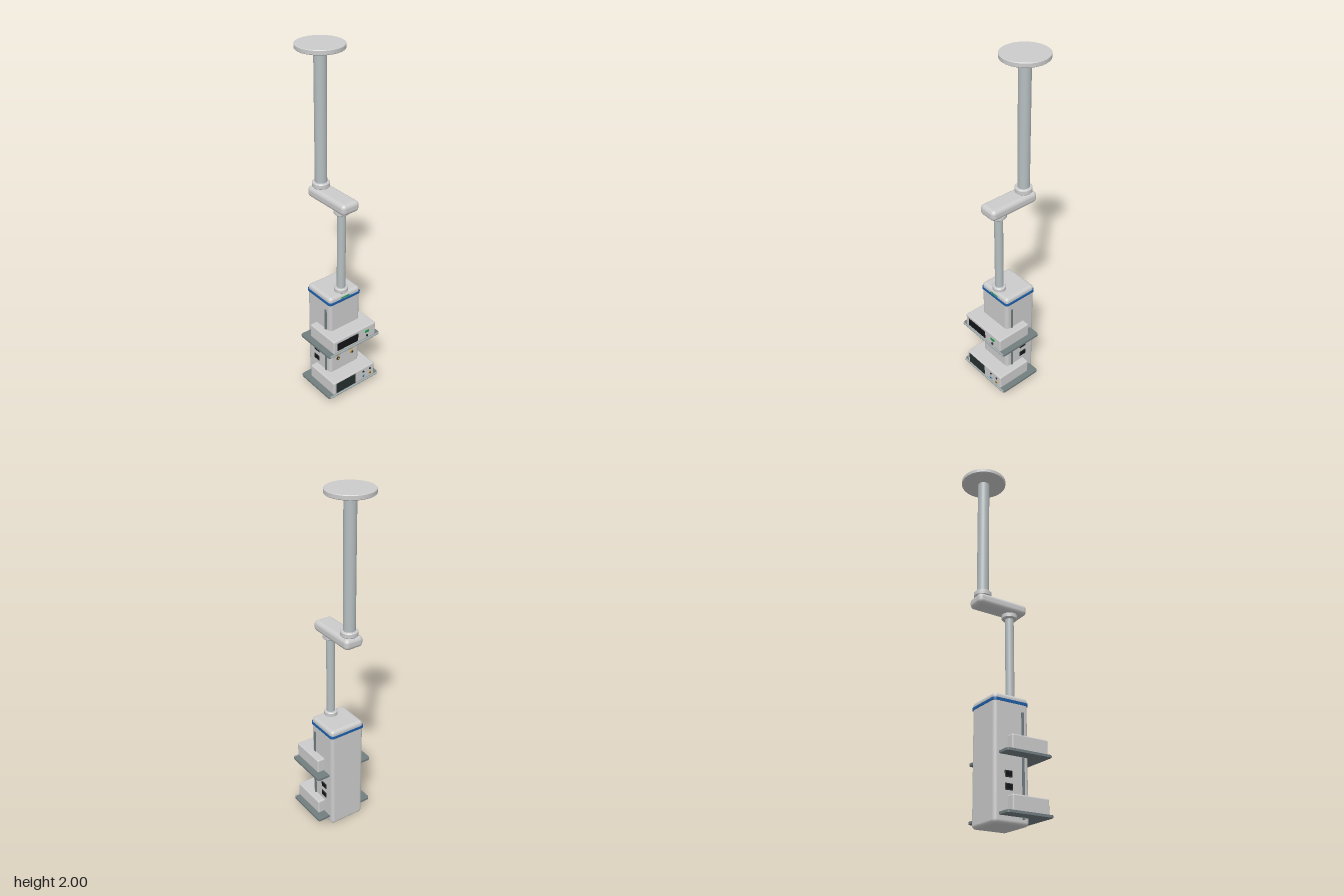
import * as THREE from 'three';
import { RoundedBoxGeometry } from 'three/addons/geometries/RoundedBoxGeometry.js';

const mat = (color) => new THREE.MeshStandardMaterial({ color });
const grey = mat(0xcccccc);
const tube = mat(0xb6bec0);
const shelfGrey = mat(0x727d7f);
const railGrey = mat(0xa3adad);
const blue = mat(0x1f5fa8);
const dark = mat(0x2a2e30);
const black = mat(0x111416);
const screenGrey = mat(0x26302f);
const green = mat(0x1fa04a);
const cyan = mat(0x7fb2cc);
const amber = mat(0xc9a24a);

export function createModel() {
  const model = new THREE.Group();

  const add = (parent, name, geometry, material, x, y, z) => {
    const mesh = new THREE.Mesh(geometry, material);
    mesh.name = name;
    mesh.position.set(x, y, z);
    parent.add(mesh);
    return mesh;
  };

  // Block given by its extents, with softened edges
  const block = (parent, name, material, [x0, x1], [y0, y1], [z0, z1], r) =>
    add(parent, name, new RoundedBoxGeometry(x1 - x0, y1 - y0, z1 - z0, 4, r), material,
      (x0 + x1) / 2, (y0 + y1) / 2, (z0 + z1) / 2);

  // Upright round part with small chamfers
  const round = (name, material, r, y0, y1, z, c) => {
    const h = y1 - y0;
    const corners = [[0, 0], [r - c, 0], [r, c], [r, h - c], [r - c, h], [0, h]];
    const points = [];
    corners.forEach(([px, py], i) => {
      // doubled points keep the edges crisp
      points.push(new THREE.Vector2(px, py));
      if (i > 0 && i < 5) points.push(new THREE.Vector2(px, py));
    });
    add(model, name, new THREE.LatheGeometry(points, 48), material, 0, y0, z);
  };

  // Flat plate with rounded corners in plan
  const plate = (parent, name, material, w, [z0, z1], [y0, y1], r) => {
    const s = new THREE.Shape();
    const a = w / 2, d = (z1 - z0) / 2;
    s.moveTo(-a + r, -d);
    s.lineTo(a - r, -d);
    s.absarc(a - r, -d + r, r, -Math.PI / 2, 0);
    s.absarc(a - r, d - r, r, 0, Math.PI / 2);
    s.absarc(-a + r, d - r, r, Math.PI / 2, Math.PI);
    s.absarc(-a + r, -d + r, r, Math.PI, Math.PI * 1.5);
    const g = new THREE.ExtrudeGeometry(s, { depth: y1 - y0, bevelEnabled: false, curveSegments: 6 });
    g.rotateX(-Math.PI / 2);
    add(parent, name, g, material, 0, y0, (z0 + z1) / 2);
  };

  // Round knob or socket facing the front
  const knob = (parent, name, material, r, depth, x, y, z) => {
    const g = new THREE.CylinderGeometry(r, r, depth, 20);
    g.rotateX(Math.PI / 2);
    add(parent, name, g, material, x, y, z + depth / 2);
  };

  // Ceiling mount, swivel arm and drop columns
  round('ceilingPlate', grey, 0.127, 1.975, 2, -0.09, 0.003);
  round('upperColumn', tube, 0.033, 1.25, 1.976, -0.09, 0.001);
  round('upperCollar', grey, 0.048, 1.228, 1.26, -0.09, 0.005);
  block(model, 'swivelArm', grey, [-0.057, 0.057], [1.167, 1.23], [-0.142, 0.165], 0.024);
  round('armCollar', grey, 0.043, 1.14, 1.17, 0.083, 0.005);
  round('lowerColumn', tube, 0.024, 0.67, 1.145, 0.083, 0.001);
  round('cabinetCollar', grey, 0.038, 0.65, 0.68, 0.083, 0.005);

  // Service cabinet
  const cabinet = new THREE.Group();
  cabinet.name = 'cabinet';
  model.add(cabinet);
  block(cabinet, 'cabinetBody', grey, [-0.107, 0.107], [0, 0.655], [-0.083, 0.122], 0.02);
  plate(cabinet, 'blueBand', blue, 0.222, [-0.086, 0.125], [0.611, 0.626], 0.018);
  block(cabinet, 'statusLight', green, [-0.03, 0.03], [0.629, 0.637], [0.115, 0.1235], 0.001);

  // Side rails and power sockets
  for (const side of [-1, 1]) {
    add(cabinet, 'sideRail', new THREE.BoxGeometry(0.008, 0.54, 0.012), shelfGrey, side * 0.109, 0.3, 0.085);
    for (const y of [0.18, 0.243]) {
      add(cabinet, 'socketFrame', new RoundedBoxGeometry(0.006, 0.034, 0.045, 2, 0.002), dark, side * 0.107, y, 0);
      add(cabinet, 'socketFace', new THREE.BoxGeometry(0.003, 0.022, 0.032), black, side * 0.1095, y, 0);
    }
  }

  // Gas outlets on the front
  for (const x of [-0.05, 0.05]) {
    knob(cabinet, 'outletRing', x < 0 ? dark : amber, 0.011, 0.007, x, 0.22, 0.121);
    knob(cabinet, 'outletCore', x < 0 ? amber : dark, 0.006, 0.011, x, 0.22, 0.121);
    add(cabinet, 'outletLabel', new THREE.BoxGeometry(0.026, 0.005, 0.002), amber, x, 0.24, 0.122);
  }

  // Shelves with a front rail
  for (const y of [0.04, 0.337]) {
    const shelf = new THREE.Group();
    shelf.name = 'shelf';
    model.add(shelf);
    plate(shelf, 'shelfPlate', shelfGrey, 0.365, [-0.055, 0.211], [y, y + 0.013], 0.014);
    block(shelf, 'shelfRail', railGrey, [-0.176, 0.176], [y + 0.003, y + 0.014], [0.206, 0.215], 0.003);
  }

  // Instrument box standing on a shelf
  const instrument = (name, y0, y1) => {
    const g = new THREE.Group();
    g.name = name;
    model.add(g);
    block(g, 'case', grey, [-0.151, 0.151], [y0, y1], [-0.005, 0.21], 0.008);
    return g;
  };

  const upper = instrument('upperInstrument', 0.35, 0.436);
  block(upper, 'screen', black, [-0.125, 0.022], [0.368, 0.417], [0.205, 0.2125], 0.001);
  block(upper, 'display', green, [0.073, 0.102], [0.394, 0.411], [0.205, 0.2125], 0.001);
  knob(upper, 'button', dark, 0.007, 0.006, 0.087, 0.374, 0.209);

  const lower = instrument('lowerInstrument', 0.053, 0.139);
  block(lower, 'screen', screenGrey, [-0.132, 0.008], [0.062, 0.13], [0.205, 0.2125], 0.001);
  for (const x of [0.068, 0.118]) {
    knob(lower, 'button', dark, 0.006, 0.005, x, 0.114, 0.209);
    knob(lower, 'connectorRing', x < 0.1 ? cyan : amber, 0.01, 0.005, x, 0.083, 0.209);
    knob(lower, 'connectorCore', dark, 0.004, 0.006, x, 0.083, 0.209);
  }

  return model;
}
